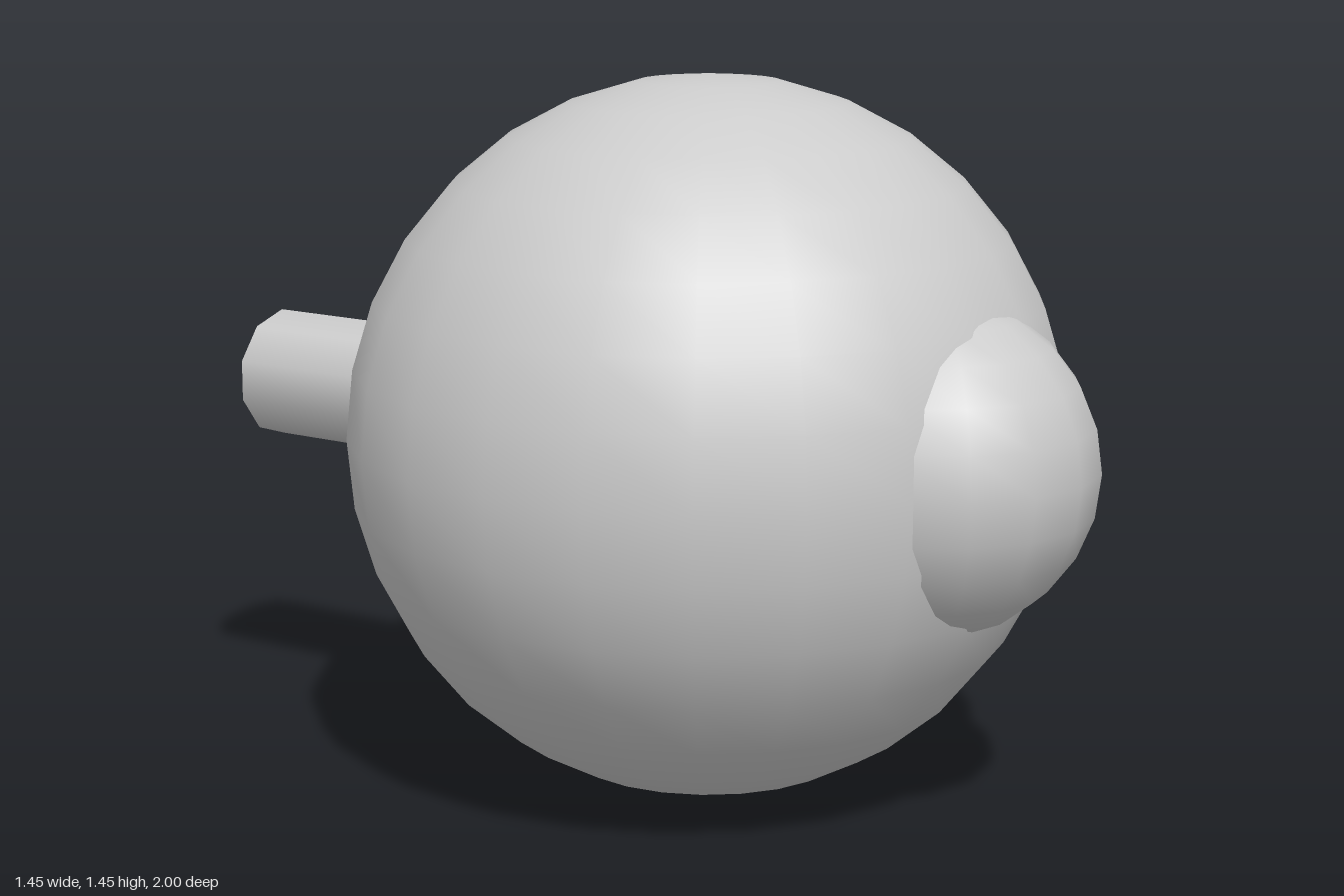
import * as THREE from 'three';

export function createModel() {
  const group = new THREE.Group();
  const material = new THREE.MeshStandardMaterial({ color: 0xcccccc });
  const centreY = 0.728;

  const add = (name, geometry, z) => {
    const mesh = new THREE.Mesh(geometry, material);
    mesh.name = name;
    mesh.position.set(0, centreY, z);
    group.add(mesh);
    return mesh;
  };

  // Main ball
  add('eyeball', new THREE.SphereGeometry(0.727, 22, 16), 0.15);

  // Smaller ball bulging out of the front
  add('cornea', new THREE.SphereGeometry(0.335, 16, 12), 0.665);

  // Ten-sided stalk at the back, its inner end sunk into the ball
  const stalk = add('stalk', new THREE.CylinderGeometry(0.14, 0.14, 0.6, 10), -0.7);
  stalk.rotation.x = Math.PI / 2;

  return group;
}
